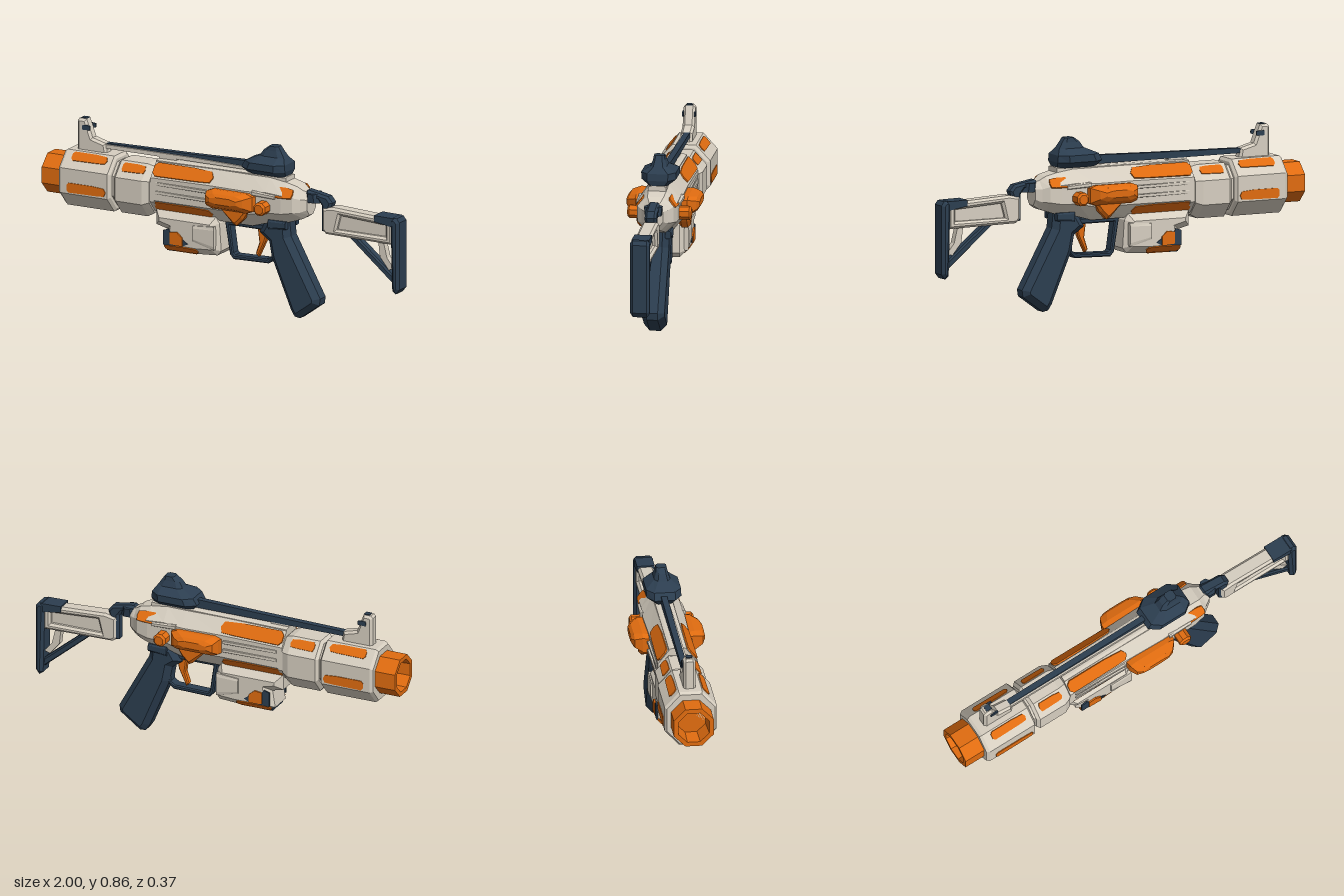
import * as THREE from 'three';

const makeMat = (name, color) => {
  const m = new THREE.MeshStandardMaterial({ color });
  m.name = name;
  return m;
};

// Faceted geometry with one normal per face
function facet(geo) {
  const g = geo.index ? geo.toNonIndexed() : geo;
  g.computeVertexNormals();
  return g;
}

// Swap two corners of every triangle
function flip(geo) {
  const p = geo.attributes.position;
  const a = new THREE.Vector3(), b = new THREE.Vector3();
  for (let i = 0; i < p.count; i += 3) {
    a.fromBufferAttribute(p, i + 1);
    b.fromBufferAttribute(p, i + 2);
    p.setXYZ(i + 1, b.x, b.y, b.z);
    p.setXYZ(i + 2, a.x, a.y, a.z);
  }
  geo.computeVertexNormals();
  return geo;
}

// Closed loft of chamfered rectangles; station = [t, a0, a1, b0, b1, chamfer fraction]
function loft(axis, stations) {
  const place = {
    x: (t, a, b) => [t, a, b], y: (t, a, b) => [a, t, b], z: (t, a, b) => [a, b, t],
  }[axis];
  const rings = stations.map(([t, a0, a1, b0, b1, f]) => {
    const ca = (a1 - a0) / 2 * f, cb = (b1 - b0) / 2 * f;
    return [[a0 + ca, b0], [a1 - ca, b0], [a1, b0 + cb], [a1, b1 - cb],
      [a1 - ca, b1], [a0 + ca, b1], [a0, b1 - cb], [a0, b0 + cb]].map(([a, b]) => place(t, a, b));
  });
  const out = [];
  for (let r = 0; r + 1 < rings.length; r++) {
    for (let i = 0; i < 8; i++) {
      const j = (i + 1) % 8, p = rings[r], q = rings[r + 1];
      out.push(p[i], p[j], q[j], p[i], q[j], q[i]);
    }
  }
  const first = rings[0], last = rings[rings.length - 1];
  for (let i = 1; i < 7; i++) {
    out.push(first[0], first[i + 1], first[i], last[0], last[i], last[i + 1]);
  }
  const g = new THREE.BufferGeometry();
  g.setAttribute('position', new THREE.Float32BufferAttribute(out.flat(), 3));
  // Signed volume tells whether the faces point outwards
  let vol = 0;
  const v = out.map((p) => new THREE.Vector3(...p));
  for (let i = 0; i < v.length; i += 3) vol += v[i].dot(v[i + 1].clone().cross(v[i + 2]));
  return vol < 0 ? flip(g) : facet(g);
}

const poly = (pts) => new THREE.Shape(pts.map(([x, y]) => new THREE.Vector2(x, y)));

// Side profile given a thickness along z, with bevelled edges and optional holes
function slab(pts, width, bevel = 0, holes = []) {
  const s = poly(pts);
  holes.forEach((h) => s.holes.push(poly(h)));
  const g = new THREE.ExtrudeGeometry(s, {
    depth: width - 2 * bevel, bevelEnabled: bevel > 0, bevelThickness: bevel,
    bevelSize: bevel, bevelOffset: -bevel, bevelSegments: 1,
  });
  g.translate(0, 0, bevel - width / 2);
  return facet(g);
}

// Thin painted plate with softly cut, uneven ends, tilted from +z towards +y
function plate(x, y, z, w, h, tilt = 0) {
  const a = w / 2, b = h / 2;
  const g = slab([[-a, -b * 0.5], [-a * 0.9, -b], [a * 0.5, -b * 0.9], [a * 0.92, -b * 0.8], [a, 0],
    [a * 0.9, b * 0.8], [a * 0.3, b], [-a * 0.9, b], [-a, b * 0.5]], 0.008);
  g.rotateX(-tilt);
  g.translate(x, y, z);
  return facet(g);
}

export function createModel() {
  const root = new THREE.Group();
  root.name = 'toyBlaster';
  const shell = makeMat('warm white shell', 0xd6cec0);
  const orange = makeMat('orange accent', 0xe06c10);
  const navy = makeMat('navy', 0x2c3e50);

  const add = (name, geo, mat) => {
    const m = new THREE.Mesh(geo, mat);
    m.name = name;
    root.add(m);
    return m;
  };
  // Same part on both sides of the body
  const pair = (name, geo, mat) => {
    add(name + 'Front', geo, mat);
    add(name + 'Back', flip(geo.clone().scale(1, 1, -1)), mat);
  };

  // Hollow octagonal muzzle
  const muzzle = new THREE.LatheGeometry([[0.108, 0], [0.108, 0.13], [0.084, 0.13], [0.078, 0.02], [0, 0.02]]
    .map(([r, y]) => new THREE.Vector2(r, y)), 8, Math.PI / 8);
  muzzle.rotateZ(Math.PI / 2);
  muzzle.translate(-0.87, 0.565, 0);
  add('muzzle', facet(muzzle), orange);

  // Barrel housings and receiver
  const o = 0.55;
  add('frontHousing', loft('x', [[-0.89, 0.43, 0.695, -0.12, 0.12, o], [-0.875, 0.42, 0.705, -0.13, 0.13, o],
    [-0.61, 0.42, 0.705, -0.13, 0.13, o], [-0.6, 0.435, 0.69, -0.115, 0.115, o]]), shell);
  add('barrelCore', loft('x', [[-0.62, 0.45, 0.675, -0.1, 0.1, o], [-0.36, 0.45, 0.675, -0.1, 0.1, o]]), shell);
  add('middleHousing', loft('x', [[-0.585, 0.44, 0.675, -0.105, 0.105, o], [-0.57, 0.42, 0.69, -0.12, 0.12, o],
    [-0.42, 0.42, 0.69, -0.12, 0.12, o], [-0.385, 0.44, 0.68, -0.105, 0.105, o]]), shell);
  add('receiver', loft('x', [[-0.38, 0.45, 0.705, -0.1, 0.1, o], [-0.04, 0.45, 0.712, -0.1, 0.1, o],
    [0.17, 0.45, 0.712, -0.105, 0.105, o], [0.27, 0.48, 0.712, -0.1, 0.1, o],
    [0.36, 0.49, 0.7, -0.1, 0.1, o], [0.42, 0.51, 0.685, -0.09, 0.09, o],
    [0.45, 0.52, 0.665, -0.065, 0.065, o], [0.48, 0.54, 0.655, -0.045, 0.045, o]]), shell);
  add('topRidge', loft('x', [[-0.38, 0.69, 0.715, -0.045, 0.045, 0.3], [0.36, 0.69, 0.725, -0.045, 0.045, 0.3]]), shell);
  for (const y of [0.555, 0.6]) {
    pair('sideRib', loft('x', [[-0.35, y, y + 0.016, 0.095, 0.106, 0.2], [-0.06, y, y + 0.016, 0.095, 0.112, 0.2]]), shell);
  }
  pair('rearRib', loft('x', [[0.2, 0.625, 0.65, 0.08, 0.115, 0.4], [0.33, 0.62, 0.64, 0.08, 0.11, 0.4]]), shell);

  // Painted patches
  pair('housingUpperPatch', plate(-0.735, 0.68, 0.082, 0.2, 0.05, 0.742), orange);
  pair('housingLowerPatch', plate(-0.73, 0.53, 0.13, 0.22, 0.05), orange);
  pair('middlePatch', plate(-0.485, 0.662, 0.079, 0.13, 0.05, 0.728), orange);
  pair('receiverUpperPatch', plate(-0.205, 0.675, 0.076, 0.34, 0.075, 0.673), orange);
  pair('receiverLowerPatch', plate(-0.205, 0.487, 0.073, 0.33, 0.07, -0.673), orange);
  pair('rearPatch', plate(0.37, 0.653, 0.084, 0.1, 0.06, 0.68), orange);

  // Side pods, their lower spikes and the round knobs
  pair('sidePod', loft('z', [[0.08, -0.05, 0.22, 0.53, 0.63, 0.25], [0.13, -0.045, 0.215, 0.535, 0.635, 0.25],
    [0.17, -0.03, 0.18, 0.555, 0.625, 0.4], [0.184, 0, 0.15, 0.575, 0.61, 0.5]]), orange);
  const spike = slab([[0.02, 0.55], [0.19, 0.55], [0.16, 0.5], [0.12, 0.46], [0.1, 0.47]], 0.06, 0.015);
  spike.translate(0, 0, 0.105);
  pair('podSpike', spike, orange);
  pair('knob', loft('z', [[0.08, 0.235, 0.3, 0.54, 0.605, 0.58], [0.15, 0.235, 0.3, 0.54, 0.605, 0.58],
    [0.16, 0.245, 0.29, 0.55, 0.595, 0.58]]), orange);

  // Lower fore-end with camouflage patches
  add('foreEnd', slab([[-0.37, 0.47], [-0.37, 0.39], [-0.31, 0.375], [-0.325, 0.285], [-0.29, 0.27], [-0.12, 0.268],
    [-0.02, 0.275], [0, 0.3], [-0.01, 0.44], [-0.03, 0.47]], 0.19, 0.035), shell);
  pair('foreEndNavyPatch', slab([[-0.31, 0.3], [-0.2, 0.305], [-0.17, 0.32], [-0.2, 0.34], [-0.24, 0.33],
    [-0.28, 0.385], [-0.31, 0.375]], 0.008).translate(0, 0, 0.095), navy);
  pair('foreEndOrangePatch', slab([[-0.27, 0.31], [-0.2, 0.305], [-0.2, 0.35], [-0.23, 0.375], [-0.27, 0.37]], 0.008)
    .translate(0, 0, 0.1), orange);
  pair('foreEndEdgePatch', plate(-0.215, 0.286, 0.079, 0.19, 0.045, -0.785), orange);
  add('foreEndBottomPatch', new THREE.BoxGeometry(0.12, 0.008, 0.12).translate(-0.2, 0.268, 0), orange);
  add('foreEndFrontPatch', new THREE.BoxGeometry(0.05, 0.009, 0.12).translate(-0.285, 0.268, 0), navy);
  pair('foreEndBlock', loft('x', [[-0.14, 0.34, 0.42, 0.08, 0.105, 0.3], [-0.02, 0.31, 0.43, 0.08, 0.105, 0.3]]), shell);

  // Trigger group
  add('triggerGuard', slab([[0, 0.46], [0.03, 0.28], [0.05, 0.257], [0.25, 0.262], [0.29, 0.3], [0.29, 0.46]], 0.06, 0.006,
    [[[0.03, 0.43], [0.26, 0.43], [0.265, 0.3], [0.24, 0.284], [0.06, 0.28], [0.05, 0.29]]]), navy);
  add('trigger', slab([[0.18, 0.44], [0.24, 0.44], [0.225, 0.37], [0.185, 0.285], [0.17, 0.3], [0.19, 0.36]], 0.035, 0.006), orange);

  // Grip
  add('grip', slab([[0.24, 0.49], [0.28, 0.51], [0.37, 0.51], [0.38, 0.42], [0.545, 0.12], [0.54, 0.085], [0.43, 0.005],
    [0.4, 0.01], [0.38, 0.04], [0.27, 0.3], [0.255, 0.38], [0.2, 0.42]], 0.115, 0.03), navy);
  pair('gripCap', loft('x', [[0.27, 0.45, 0.5, 0.04, 0.07, 0.4], [0.37, 0.46, 0.5, 0.04, 0.07, 0.4]]), navy);

  // Sights and top rail
  add('frontSight', slab([[-0.84, 0.69], [-0.84, 0.85], [-0.83, 0.862], [-0.79, 0.862], [-0.755, 0.77], [-0.68, 0.75],
    [-0.67, 0.69]], 0.06, 0.012), shell);
  pair('frontSightPatch', plate(-0.785, 0.82, 0.03, 0.045, 0.025), navy);
  add('frontSightTopPatch', new THREE.BoxGeometry(0.03, 0.008, 0.03).translate(-0.805, 0.862, 0), navy);
  add('railShellSide', slab([[-0.69, 0.725], [0.15, 0.725], [0.15, 0.738], [-0.18, 0.745], [-0.69, 0.745]], 0.018)
    .translate(0, 0, 0.011), shell);
  add('rail', slab([[-0.69, 0.725], [0.15, 0.725], [0.15, 0.77], [-0.2, 0.76], [-0.69, 0.75]], 0.03)
    .translate(0, 0, -0.004), navy);
  add('railFoot', new THREE.BoxGeometry(0.1, 0.04, 0.03).translate(-0.33, 0.715, 0), shell);
  add('rearSight', loft('y', [[0.715, 0.14, 0.35, -0.04, 0.04, 0.3], [0.75, 0.11, 0.358, -0.087, 0.087, 0.4],
    [0.785, 0.13, 0.355, -0.087, 0.087, 0.4], [0.815, 0.2, 0.335, -0.04, 0.04, 0.4],
    [0.845, 0.22, 0.315, -0.03, 0.03, 0.4], [0.867, 0.25, 0.3, -0.026, 0.026, 0.4]]), navy);

  // Folding stock
  add('stockHinge', slab([[0.44, 0.64], [0.47, 0.67], [0.5, 0.665], [0.585, 0.65], [0.61, 0.62], [0.6, 0.59], [0.6, 0.46],
    [0.55, 0.47], [0.55, 0.6], [0.53, 0.625], [0.48, 0.625]], 0.06, 0.012), navy);
  add('hingeBarrel', loft('y', [[0.61, 0.455, 0.54, -0.04, 0.04, 0.55], [0.655, 0.465, 0.53, -0.045, 0.045, 0.55]]), navy);
  add('stockFrame', slab([[0.56, 0.48], [0.58, 0.46], [0.96, 0.455], [0.96, 0.585], [0.62, 0.602], [0.56, 0.59]], 0.08, 0.012,
    [[[0.64, 0.49], [0.92, 0.49], [0.92, 0.55], [0.66, 0.565]]]), shell);
  add('stockWeb', slab([[0.62, 0.48], [0.94, 0.48], [0.94, 0.57], [0.62, 0.575]], 0.03), shell);
  add('stockRearCap', slab([[0.86, 0.565], [0.96, 0.55], [0.97, 0.595], [0.86, 0.597]], 0.088), navy);
  add('stockStrut', slab([[0.7, 0.465], [0.75, 0.465], [0.97, 0.285], [0.97, 0.24]], 0.05, 0.008), navy);
  add('stockInnerStrut', slab([[0.87, 0.46], [0.9, 0.46], [0.92, 0.38], [0.96, 0.33], [0.93, 0.32], [0.88, 0.38]], 0.036), shell);
  add('buttPlate', slab([[0.95, 0.585], [0.965, 0.597], [0.985, 0.595], [1, 0.575], [1, 0.23], [0.98, 0.205], [0.96, 0.22]],
    0.098, 0.014), navy);
  return root;
}
